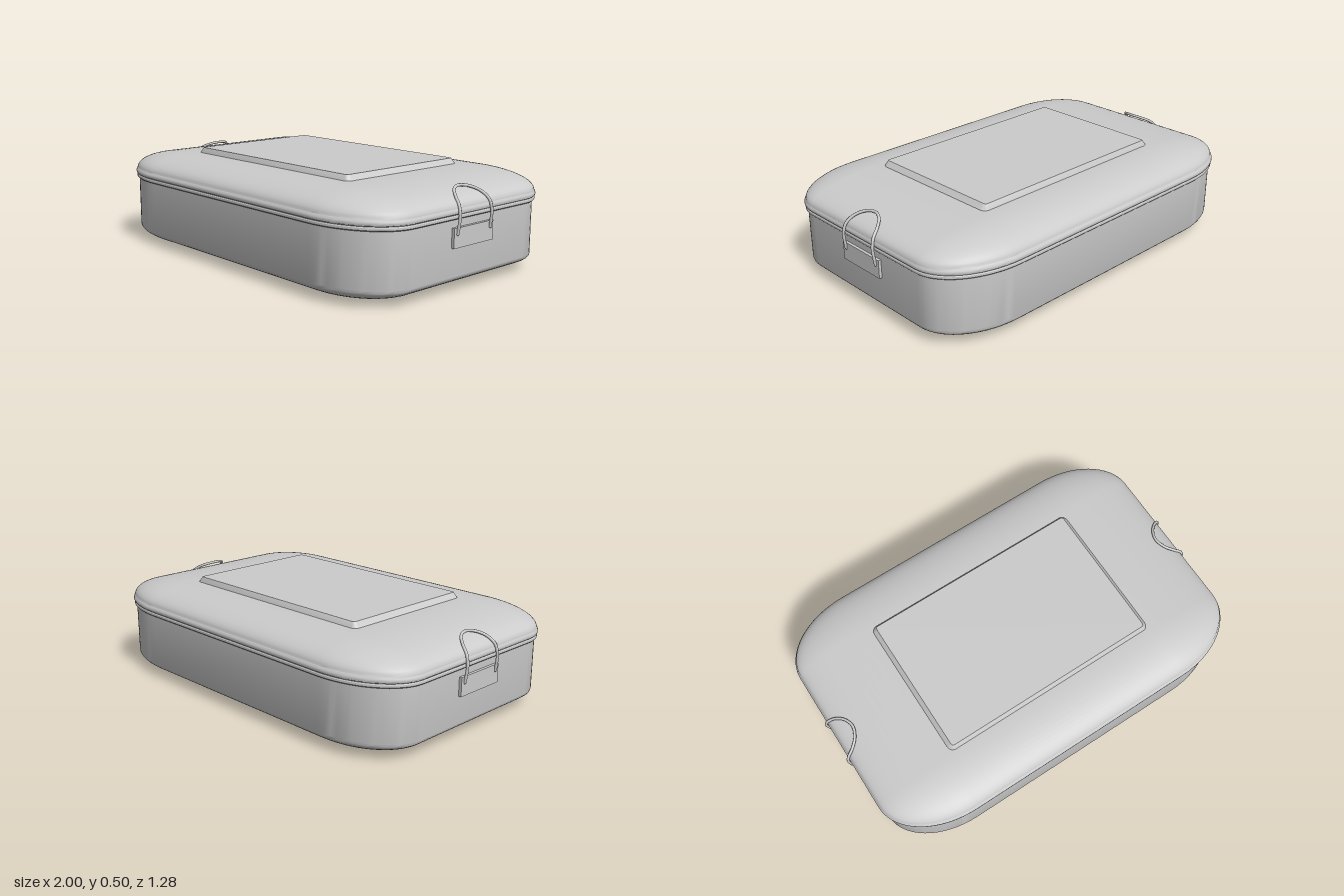
import * as THREE from 'three';
import { toCreasedNormals } from 'three/addons/utils/BufferGeometryUtils.js';

const CORE_X = 0.6, CORE_Z = 0.38; // straight part of the outline
const RX = 0.37, RZ = 0.245;       // elliptical corner radii of the body
const CORNER = 16;

// Ring of points: a rectangle grown by an elliptical corner
function ring(kx, kz, rx, rz, y) {
  const pts = [];
  for (let q = 0; q < 4; q++) {
    const sx = q === 0 || q === 3 ? 1 : -1, sz = q < 2 ? 1 : -1;
    for (let i = 0; i <= CORNER; i++) {
      const a = (q + i / CORNER) * Math.PI / 2;
      pts.push([sx * kx + rx * Math.cos(a), y, sz * kz + rz * Math.sin(a)]);
    }
  }
  return pts;
}

// Skin over rings listed from bottom to top
function loft(rings, crease = 0.5) {
  const n = rings[0].length, index = [];
  for (let i = 0; i < rings.length - 1; i++) {
    for (let j = 0; j < n; j++) {
      const a = i * n + j, c = i * n + (j + 1) % n;
      index.push(a, a + n, c, a + n, c + n, c);
    }
  }
  const geo = new THREE.BufferGeometry();
  geo.setAttribute('position', new THREE.Float32BufferAttribute(rings.flat(2), 3));
  geo.setIndex(index);
  return toCreasedNormals(geo, crease);
}

const wall = (d, y) => ring(CORE_X, CORE_Z, RX + d, RZ + d, y);
const point = (y) => ring(0, 0, 0, 0, y);

export function createModel() {
  const group = new THREE.Group();
  const material = new THREE.MeshStandardMaterial({ color: 0xcccccc });
  const add = (name, geo, parent = group) => {
    const mesh = new THREE.Mesh(geo, material);
    mesh.name = name;
    parent.add(mesh);
    return mesh;
  };

  // Container: flat base, soft lower edge, straight walls
  const STEPS = 14;
  const body = [point(0)];
  for (let i = 0; i <= STEPS; i++) {
    const p = i / STEPS * Math.PI / 2;
    body.push(ring(CORE_X, CORE_Z, RX * Math.sin(p), RZ * Math.sin(p), 0.08 * (1 - Math.cos(p))));
  }
  body.push(wall(0, 0.36), point(0.36));
  add('container', loft(body));

  // Lid: double-beaded rim, then a shallow dome
  const rim = [[-0.01, 0.336], [0.006, 0.336], [0.011, 0.341], [0.011, 0.351], [0.008, 0.356],
    [0.013, 0.361], [0.015, 0.368], [0.013, 0.377], [0.008, 0.384]];
  const lid = rim.map(([d, y]) => wall(d, y));
  for (let i = 0; i <= STEPS; i++) {
    const p = i / STEPS * Math.PI / 2, s = Math.cos(p);
    lid.push(ring(CORE_X, CORE_Z, (RX + 0.008) * s, (RZ + 0.006) * s, 0.386 + 0.09 * Math.sin(p)));
  }
  lid.push(point(0.476));
  add('lid', loft(lid));

  // Raised rectangular panel with sloping sides
  add('lidPanel', loft([
    ring(0.54, 0.335, 0.032, 0.034, 0.47),
    ring(0.54, 0.335, 0.03, 0.032, 0.478),
    ring(0.54, 0.335, 0.01, 0.018, 0.502),
    point(0.502),
  ], 0.4));

  // Wire clip and its mounting plate on each end
  const half = [[0.984, 0.272, 0.11], [0.99, 0.31, 0.109], [0.993, 0.355, 0.107], [0.981, 0.398, 0.102],
    [0.945, 0.432, 0.086], [0.907, 0.453, 0.05]];
  const path = [...half, [0.89, 0.46, 0], ...half.map(([x, y, z]) => [x, y, -z]).reverse()];
  const curve = new THREE.CatmullRomCurve3(path.map((p) => new THREE.Vector3(...p)));
  const wire = new THREE.TubeGeometry(curve, 72, 0.007, 10);
  for (const side of [1, -1]) {
    const clip = new THREE.Group();
    clip.name = side > 0 ? 'leftClip' : 'rightClip';
    clip.rotation.y = side > 0 ? 0 : Math.PI;
    add('clipWire', wire, clip);
    add('clipPlate', new THREE.BoxGeometry(0.02, 0.09, 0.264), clip).position.set(0.974, 0.255, 0);
    // Rounded wire ends
    for (const z of [0.11, -0.11]) {
      add('wireEnd', new THREE.SphereGeometry(0.007, 10, 8), clip).position.set(0.984, 0.272, z);
    }
    group.add(clip);
  }
  return group;
}
